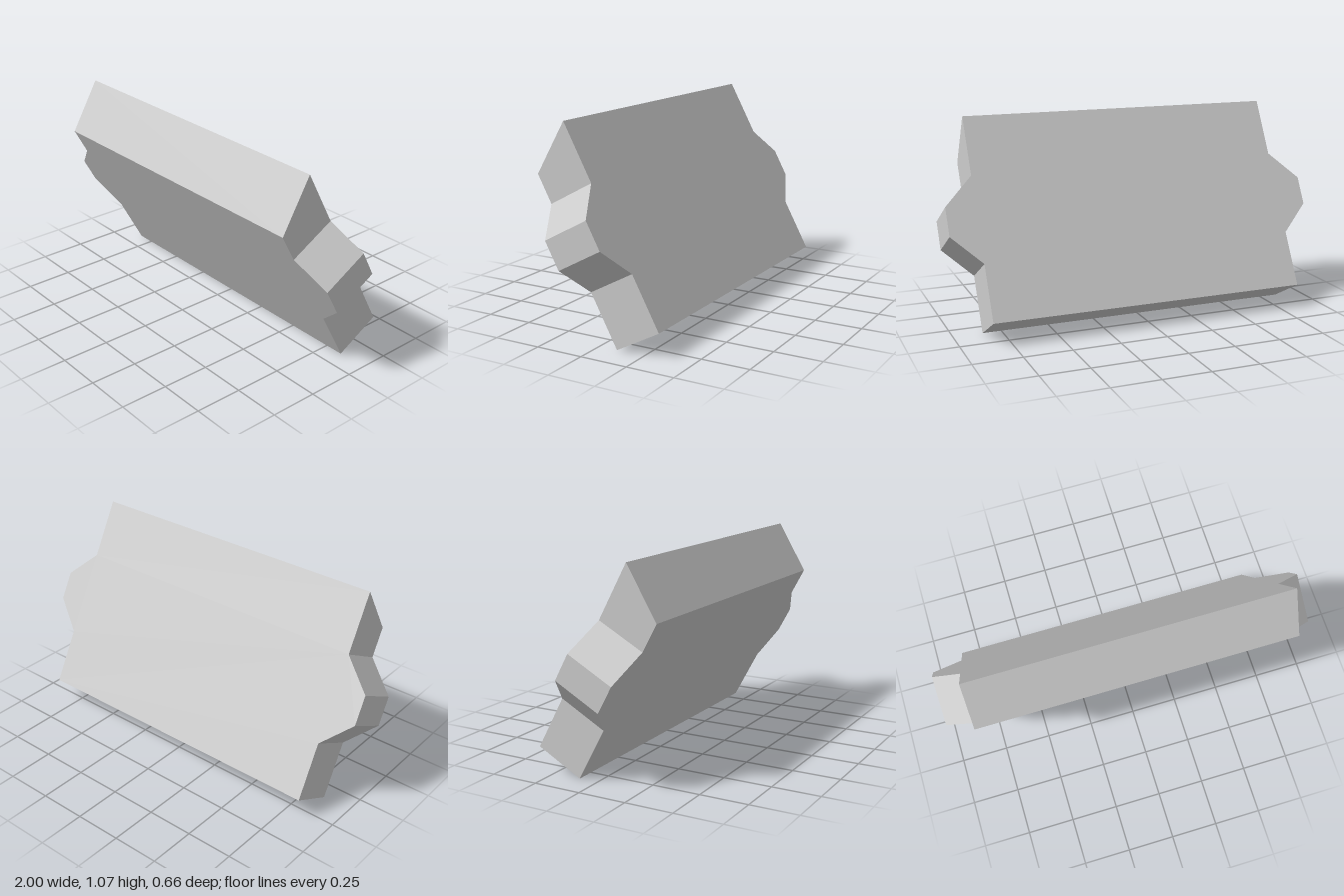
import * as THREE from 'three';

export function createModel() {
  const model = new THREE.Group();
  model.name = 'leaningPanel';
  const grey = new THREE.MeshStandardMaterial({ color: 0xcccccc });
  grey.name = 'light grey';

  const thickness = 0.263, frontHeight = 0.914, backHeight = 1.073;

  // Slab outline with a tapered tab on each side
  const side = [[0.848, 0], [0.848, 0.299], [1, 0.451], [1, 0.604], [0.848, 0.757], [0.848, frontHeight]];
  const mirrored = side.map(([x, y]) => [-x, y]).reverse();
  const outline = new THREE.Shape([...side, ...mirrored].map(([x, y]) => new THREE.Vector2(x, y)));
  const geometry = new THREE.ExtrudeGeometry(outline, { depth: thickness, bevelEnabled: false });
  geometry.translate(0, 0, -thickness);

  // Bevel the top by raising its back edge
  const p = geometry.attributes.position;
  for (let i = 0; i < p.count; i++) {
    if (p.getY(i) > 0.9 && p.getZ(i) < -thickness / 2) p.setY(i, backHeight);
  }

  // Lean the slab forward, standing on its bottom front edge
  geometry.rotateX(0.494);
  geometry.translate(0, 0, -0.1);
  geometry.computeVertexNormals();

  const panel = new THREE.Mesh(geometry, grey);
  panel.name = 'tabbedPanel';
  model.add(panel);
  return model;
}
